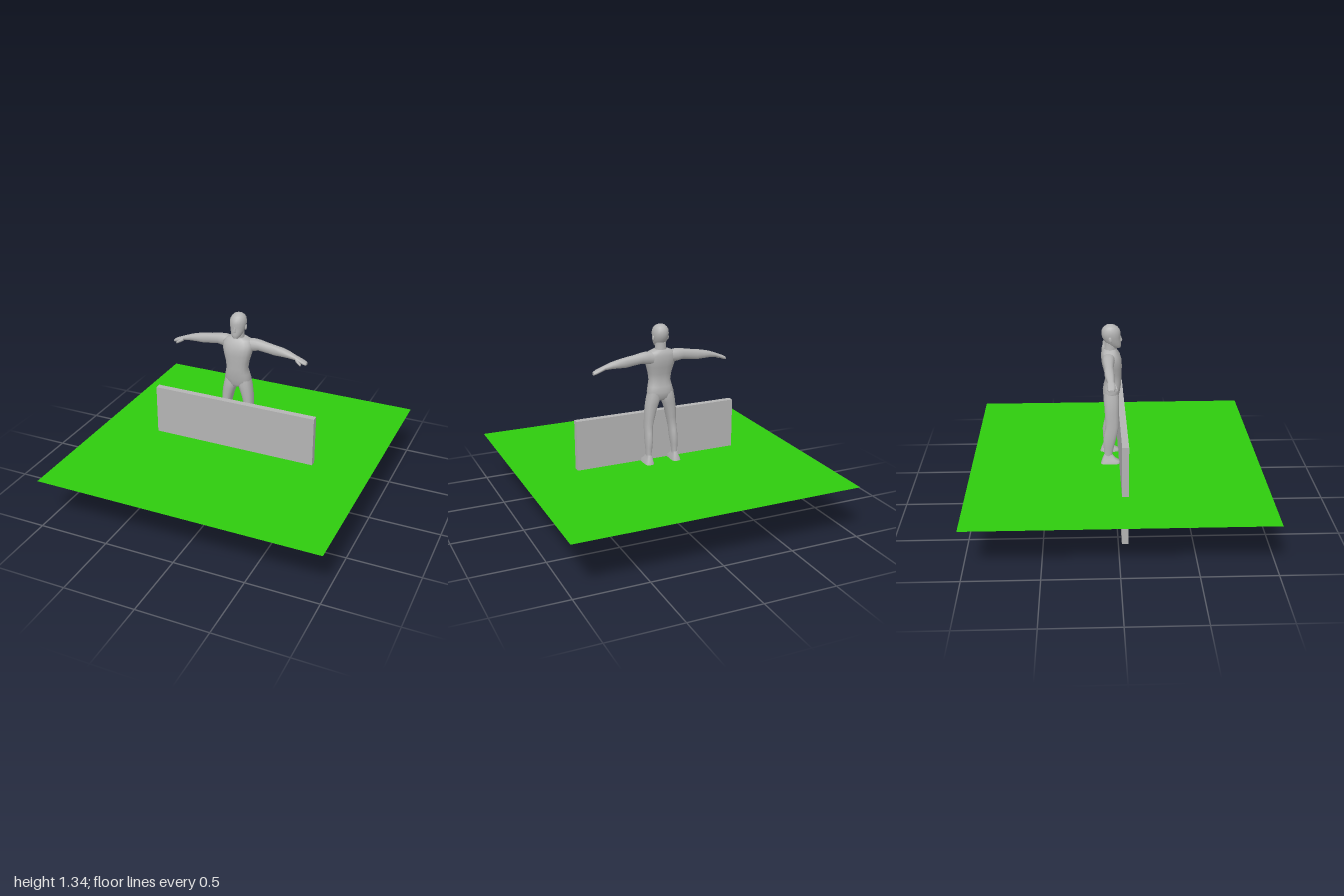
import * as THREE from 'three';

// Loft through sections [t, aMin, aMax, bMin, bMax].
// axis 'y': t = y, a = x, b = z.   axis 'x': t = x, a = z, b = y.
function loft(axis, sections, sides = 14, power = 0.85) {
  const rows = [...sections].sort((p, q) => p[0] - q[0]);
  const pos = [], idx = [];
  const put = (t, a, b) => (axis === 'y' ? pos.push(a, t, b) : pos.push(t, b, a));
  const bend = v => Math.sign(v) * Math.pow(Math.abs(v), power);
  for (const [t, a0, a1, b0, b1] of rows) {
    for (let j = 0; j < sides; j++) {
      const th = (j / sides) * Math.PI * 2;
      put(t, (a0 + a1) / 2 + ((a1 - a0) / 2) * bend(Math.cos(th)),
        (b0 + b1) / 2 + ((b1 - b0) / 2) * bend(Math.sin(th)));
    }
  }
  const n = rows.length;
  for (let i = 0; i < n - 1; i++) {
    for (let j = 0; j < sides; j++) {
      const k = (j + 1) % sides;
      const a = i * sides + j, b = i * sides + k, c = a + sides, d = b + sides;
      idx.push(a, c, b, b, c, d);
    }
  }
  // End caps, with their own rings so the rims stay crisp
  for (const end of [0, n - 1]) {
    const [t, a0, a1, b0, b1] = rows[end];
    const start = pos.length / 3;
    for (let j = 0; j < sides; j++) {
      const s = (end * sides + j) * 3;
      pos.push(pos[s], pos[s + 1], pos[s + 2]);
    }
    put(t, (a0 + a1) / 2, (b0 + b1) / 2);
    for (let j = 0; j < sides; j++) {
      const a = start + j, b = start + ((j + 1) % sides);
      if (end === 0) idx.push(start + sides, a, b);
      else idx.push(start + sides, b, a);
    }
  }
  const g = new THREE.BufferGeometry();
  g.setAttribute('position', new THREE.Float32BufferAttribute(pos, 3));
  g.setIndex(idx);
  g.computeVertexNormals();
  return g;
}

export function createModel() {
  const model = new THREE.Group();
  const green = new THREE.MeshStandardMaterial({ color: 0x2ecc0e, side: THREE.DoubleSide });
  green.name = 'grass green';
  const grey = new THREE.MeshStandardMaterial({ color: 0xb4b4b4 });
  grey.name = 'light grey';

  const add = (name, geometry, material = grey, parent = model) => {
    const mesh = new THREE.Mesh(geometry, material);
    mesh.name = name;
    parent.add(mesh);
    return mesh;
  };

  // Ground sheet, cutting the wall at half its height
  add('ground', new THREE.PlaneGeometry(2, 2).rotateX(-Math.PI / 2).translate(0, 0.357, 0), green);

  // Wall
  add('wall', new THREE.BoxGeometry(1.186, 0.71, 0.045).translate(0, 0.355, 0.046));

  // Figure with arms held out
  const figure = new THREE.Group();
  figure.name = 'figure';
  model.add(figure);
  const part = (name, geometry) => add(name, geometry, grey, figure);

  // Torso from crotch to neck base: [y, half width, back z, front z]
  const torso = [
    [0.81, 0.035, -0.06, 0.01], [0.83, 0.085, -0.08, 0.022], [0.87, 0.094, -0.087, 0.03],
    [0.91, 0.084, -0.08, 0.037], [0.95, 0.075, -0.07, 0.04], [1.0, 0.082, -0.075, 0.041],
    [1.05, 0.096, -0.088, 0.044], [1.09, 0.106, -0.096, 0.042], [1.13, 0.108, -0.097, 0.03],
    [1.155, 0.088, -0.09, 0.012], [1.17, 0.048, -0.078, 0.002],
  ];
  part('torso', loft('y', torso.map(([y, w, b, f]) => [y, -w, w, b, f]), 18, 0.8));

  // Neck
  part('neck', loft('y', [[1.14, -0.046, 0.046, -0.082, 0.008], [1.175, -0.038, 0.038, -0.075, 0.005],
    [1.22, -0.037, 0.037, -0.075, 0.005]], 14, 1));

  // Head: [y, half width, back z, front z]
  const head = [
    [1.178, 0.018, 0.0, 0.033], [1.186, 0.028, -0.03, 0.038], [1.205, 0.039, -0.06, 0.039],
    [1.23, 0.048, -0.078, 0.036], [1.255, 0.053, -0.09, 0.034], [1.28, 0.056, -0.095, 0.036],
    [1.305, 0.052, -0.091, 0.029], [1.322, 0.042, -0.079, 0.015], [1.334, 0.028, -0.062, -0.004],
    [1.34, 0.01, -0.04, -0.022],
  ];
  part('head', loft('y', head.map(([y, w, b, f]) => [y, -w, w, b, f]), 18, 0.95));
  part('nose', loft('y', [[1.222, -0.009, 0.009, 0.02, 0.044], [1.23, -0.009, 0.009, 0.02, 0.047],
    [1.262, -0.004, 0.004, 0.02, 0.036]], 8, 1));

  // Arm: [x, back z, front z, bottom y, top y]
  const arm = [
    [0.07, -0.09, -0.005, 1.075, 1.158], [0.11, -0.092, -0.008, 1.078, 1.163],
    [0.15, -0.09, -0.013, 1.086, 1.158], [0.21, -0.084, -0.018, 1.078, 1.147],
    [0.26, -0.08, -0.02, 1.07, 1.14], [0.31, -0.082, -0.017, 1.072, 1.13],
    [0.36, -0.074, -0.018, 1.072, 1.117], [0.41, -0.063, -0.021, 1.068, 1.098],
    [0.44, -0.068, -0.014, 1.058, 1.085], [0.47, -0.066, -0.016, 1.046, 1.073],
    [0.488, -0.06, -0.024, 1.042, 1.062],
  ];
  const thumb = [[0.415, -0.036, -0.018, 1.062, 1.088], [0.435, -0.024, -0.003, 1.053, 1.076],
    [0.458, -0.015, 0.002, 1.043, 1.06]];

  // Leg: [y, inner x, outer x, back z, front z]
  const leg = [
    [0.395, 0.078, 0.118, -0.086, -0.02], [0.43, 0.08, 0.115, -0.08, -0.024],
    [0.48, 0.074, 0.118, -0.085, -0.014], [0.54, 0.066, 0.12, -0.088, 0.002],
    [0.585, 0.066, 0.117, -0.08, 0.012], [0.63, 0.06, 0.117, -0.07, 0.02],
    [0.68, 0.048, 0.114, -0.073, 0.021], [0.74, 0.034, 0.112, -0.077, 0.022],
    [0.79, 0.016, 0.106, -0.08, 0.024], [0.83, 0.004, 0.099, -0.085, 0.024],
    [0.87, 0.01, 0.09, -0.08, 0.018],
  ];
  const foot = [[0.363, 0.068, 0.134, -0.104, 0.028], [0.38, 0.07, 0.13, -0.099, 0.027],
    [0.397, 0.076, 0.122, -0.093, -0.002], [0.425, 0.082, 0.114, -0.082, -0.023]];

  for (const s of [1, -1]) {
    const side = s > 0 ? 'left' : 'right';
    const alongX = rows => rows.map(([x, ...rest]) => [s * x, ...rest]);
    const alongY = rows => rows.map(([y, i, o, b, f]) => (s > 0 ? [y, i, o, b, f] : [y, -o, -i, b, f]));
    part(side + 'Arm', loft('x', alongX(arm), 14, 0.85));
    part(side + 'Thumb', loft('x', alongX(thumb), 8, 0.9));
    part(side + 'Leg', loft('y', alongY(leg), 14, 0.85));
    part(side + 'Foot', loft('y', alongY(foot), 16, 0.55));
    part(side + 'Ear', new THREE.SphereGeometry(1, 10, 8).scale(0.006, 0.02, 0.012)
      .rotateX(-0.25).translate(s * 0.053, 1.245, -0.035));
  }
  return model;
}
